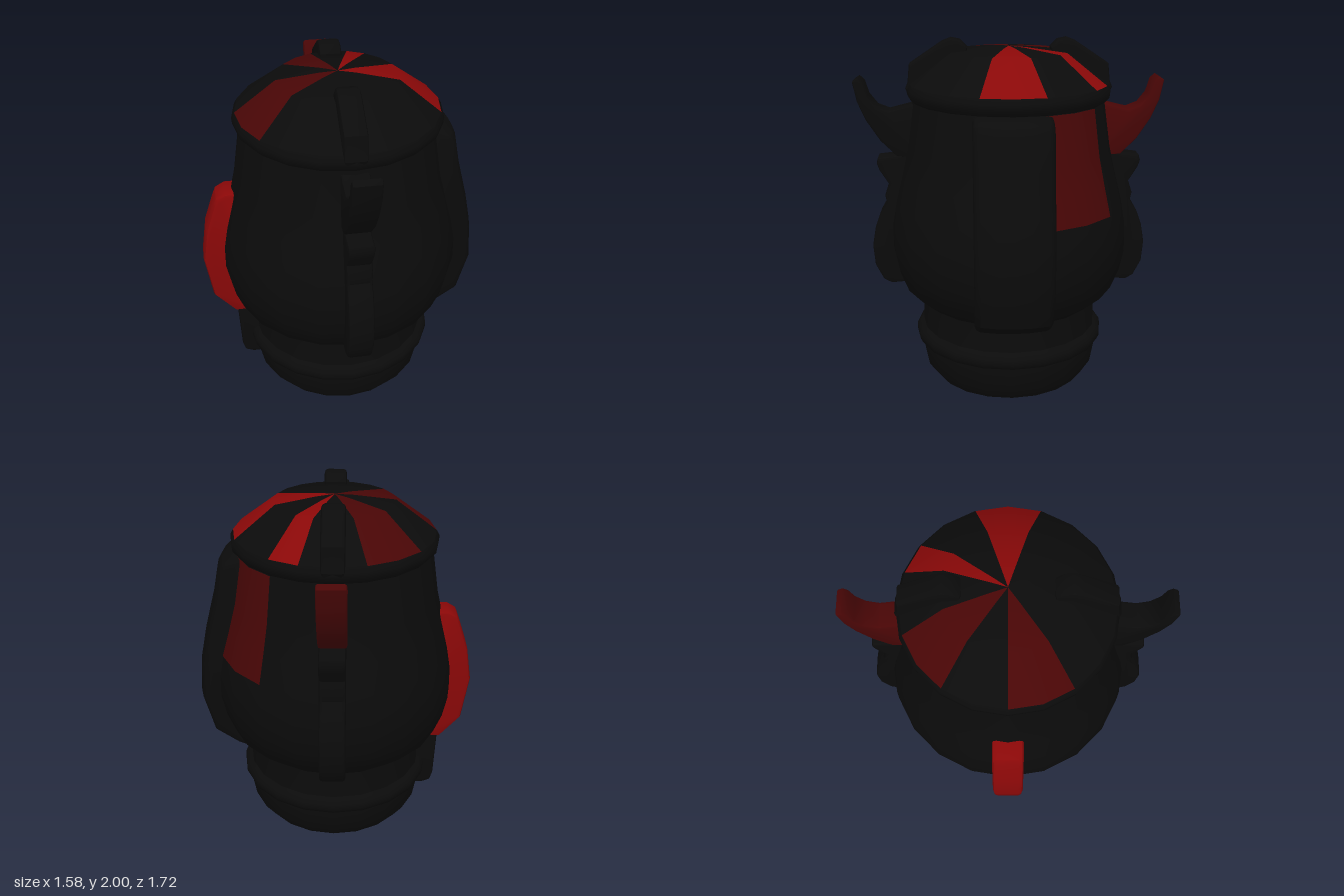
import * as THREE from 'three';
import { toCreasedNormals } from 'three/addons/utils/BufferGeometryUtils.js';

const SEG = 20;
const DEG = Math.PI / 180;
const black = new THREE.MeshStandardMaterial({ color: 0x0b0b0b });
const red = new THREE.MeshStandardMaterial({ color: 0x8a0808 });
const darkRed = new THREE.MeshStandardMaterial({ color: 0x480606 });

const vecs = (pts) => pts.map(([x, y]) => new THREE.Vector2(x, y));

// Turned part, or a sector of one, between two angles in degrees
function turned(name, pts, material, from = 0, to = 360) {
  const count = Math.round((to - from) / 360 * SEG);
  const geo = new THREE.LatheGeometry(vecs(pts), count, from * DEG, (to - from) * DEG);
  const mesh = new THREE.Mesh(geo, material);
  mesh.name = name;
  return mesh;
}

// Radial profile (radius, height) given a width and soft bevels; crown bows the outer face
function rib(name, pts, width, bevel, angle, material, crown = 0) {
  let geo = new THREE.ExtrudeGeometry(new THREE.Shape(vecs(pts)), {
    depth: width - 2 * bevel, steps: crown ? 4 : 1, bevelEnabled: true,
    bevelThickness: bevel, bevelSize: bevel, bevelOffset: -bevel, bevelSegments: 2,
  });
  geo.translate(0, 0, bevel - width / 2);
  if (crown) {
    const p = geo.attributes.position;
    for (let i = 0; i < p.count; i++) {
      const t = p.getZ(i) / (width / 2);
      p.setX(i, p.getX(i) - crown * t * t);
    }
  }
  geo = toCreasedNormals(geo, 0.7);
  const mesh = new THREE.Mesh(geo, material);
  mesh.name = name;
  mesh.rotation.y = angle * DEG;
  return mesh;
}

export function createModel() {
  const model = new THREE.Group();
  model.name = 'lidded mug';

  // Foot, ring and rounded body
  model.add(turned('footBottom', [[0, 0], [0.44, 0.02]], darkRed));
  model.add(turned('foot', [[0.44, 0.02], [0.5, 0.1], [0.525, 0.24], [0.51, 0.34], [0.505, 0.5]], black));
  model.add(turned('footRing', [[0.51, 0.235], [0.54, 0.25], [0.552, 0.275], [0.55, 0.305], [0.53, 0.325], [0.5, 0.345]], black));
  const upper = [[0.655, 1.08], [0.615, 1.24], [0.578, 1.4], [0.54, 1.66]];
  model.add(turned('body', [[0.5, 0.49], [0.61, 0.585], [0.655, 0.7], [0.68, 0.82], [0.678, 0.95], ...upper, [0.53, 1.7]], black));
  model.add(turned('bodyPatch', upper.map(([r, y]) => [r + 0.004, y]), darkRed, 108, 144));

  // Lid: rolled rim and a low dome made of coloured sectors
  model.add(turned('lidRim', [[0.5, 1.66], [0.54, 1.662], [0.568, 1.69], [0.572, 1.725], [0.555, 1.755]], black));
  const dome = [[0.555, 1.755], [0.33, 1.925], [0.1, 1.95], [0, 1.955]];
  const sectors = [[0, 72, black], [72, 108, red], [108, 144, black], [144, 162, red], [162, 198, black],
    [198, 234, darkRed], [234, 270, black], [270, 306, darkRed], [306, 360, black]];
  for (const [from, to, material] of sectors) model.add(turned('lidSector', dome, material, from, to));

  // Matching front and back ornaments
  const fin = [[0.48, 1.7], [0.56, 1.7], [0.574, 1.73], [0.56, 1.765], [0.55, 1.86], [0.37, 1.98], [0.32, 2], [0.27, 1.99], [0.23, 1.95], [0.23, 1.88]];
  const strip = [[0.5, 0.6], [0.69, 0.585], [0.735, 0.61], [0.78, 0.7], [0.79, 0.82], [0.77, 0.93], [0.74, 1.01],
    [0.7, 1.08], [0.708, 1.12], [0.685, 1.19], [0.735, 1.27], [0.748, 1.31], [0.74, 1.34], [0.64, 1.352], [0.5, 1.4]];
  const horn = [[0.48, 1.34], [0.63, 1.35], [0.72, 1.44], [0.795, 1.555], [0.84, 1.66], [0.862, 1.77], [0.832, 1.79],
    [0.805, 1.765], [0.782, 1.69], [0.735, 1.63], [0.67, 1.605], [0.57, 1.63], [0.48, 1.66]];
  for (const [side, angle] of [['front', -90], ['back', 90]]) {
    model.add(rib(side + 'LidFin', fin, 0.125, 0.02, angle, black));
    model.add(rib(side + 'Strip', strip, 0.14, 0.018, angle, black));
    model.add(rib(side + 'Horn', horn, 0.15, 0.014, angle, side === 'back' ? darkRed : black));
  }

  // Wide bowed panel on one side
  model.add(rib('sidePanel', [[0.45, 0.48], [0.54, 0.472], [0.6, 0.495], [0.725, 0.58], [0.785, 0.8], [0.77, 1.02],
    [0.74, 1.17], [0.68, 1.4], [0.645, 1.58], [0.62, 1.625], [0.54, 1.66], [0.45, 1.66]], 0.42, 0.03, 0, black, 0.04));

  // Narrow strap opposite, with a tail running over the foot ring
  model.add(rib('sideStrap', [[0.5, 0.48], [0.63, 0.475], [0.75, 0.61], [0.79, 0.87], [0.76, 1.07], [0.71, 1.22],
    [0.69, 1.27], [0.64, 1.3], [0.5, 1.3]], 0.17, 0.025, 180, red));
  model.add(rib('strapTail', [[0.45, 0.13], [0.54, 0.13], [0.59, 0.15], [0.605, 0.2], [0.618, 0.49], [0.45, 0.52]], 0.15, 0.02, 180, black));

  return model;
}
